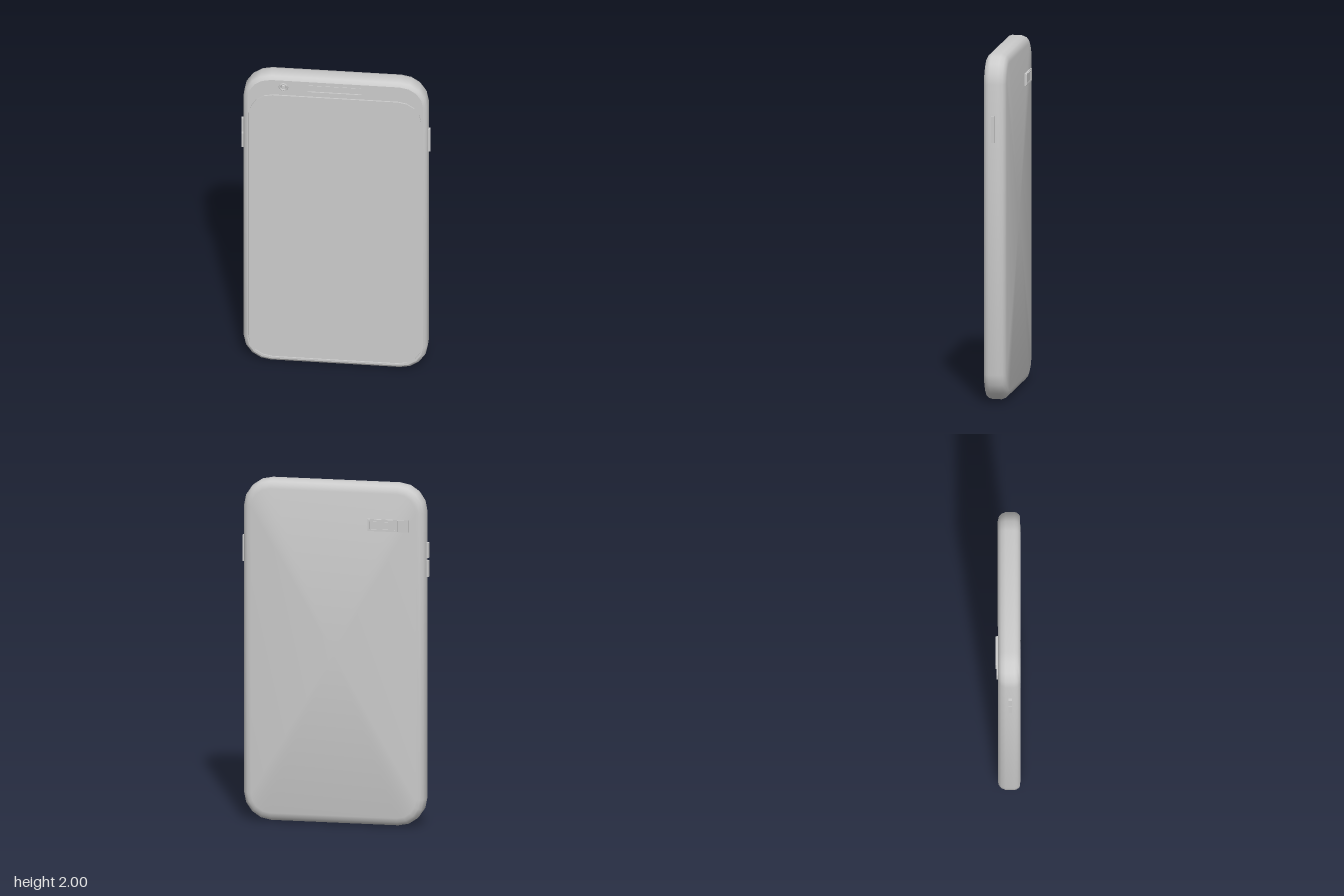
import * as THREE from 'three';
import { toCreasedNormals } from 'three/addons/utils/BufferGeometryUtils.js';

const HALF_W = 0.53, FRONT = 0.066;

// Counter-clockwise rounded rectangle as a list of points
function outline(cx, cy, hw, hh, r, seg = 4) {
  const pts = [];
  [[1, 1], [-1, 1], [-1, -1], [1, -1]].forEach(([sx, sy], q) => {
    for (let i = 0; i <= seg; i++) {
      const a = (q + i / seg) * Math.PI / 2;
      pts.push(new THREE.Vector2(
        cx + sx * (hw - r) + r * Math.cos(a),
        cy + sy * (hh - r) + r * Math.sin(a)));
    }
  });
  return pts;
}
const bodyOutline = inset => outline(0, 1, HALF_W - inset, 1 - inset, 0.16 - inset);

// Rounded shell lofted from the back face to the front rim
function shellGeometry() {
  const rings = [[-0.062, 0.05], [-0.056, 0.027], [-0.042, 0.01], [-0.018, 0],
    [0.035, 0], [0.05, 0.005], [0.06, 0.014], [FRONT, 0.025]];
  const pos = [], idx = [];
  const n = bodyOutline(0).length;
  rings.forEach(([z, inset]) => bodyOutline(inset).forEach(p => pos.push(p.x, p.y, z)));
  for (let k = 0; k < rings.length - 1; k++) {
    for (let i = 0; i < n; i++) {
      const j = (i + 1) % n, a = k * n + i, b = k * n + j;
      idx.push(a, b, b + n, a, b + n, a + n);
    }
  }
  // back cap
  const c = pos.length / 3;
  pos.push(0, 1, rings[0][0]);
  for (let i = 0; i < n; i++) idx.push(c, (i + 1) % n, i);
  const g = new THREE.BufferGeometry();
  g.setAttribute('position', new THREE.Float32BufferAttribute(pos, 3));
  g.setIndex(idx);
  return toCreasedNormals(g, 0.6);
}

export function createModel() {
  const group = new THREE.Group();
  const mat = new THREE.MeshStandardMaterial({ color: 0xcccccc });

  const add = (name, geo, x = 0, y = 0, z = 0) => {
    const m = new THREE.Mesh(geo, mat);
    m.name = name;
    m.position.set(x, y, z);
    group.add(m);
    return m;
  };
  const box = (name, x0, x1, y0, y1, z0, z1) => add(name,
    new THREE.BoxGeometry(x1 - x0, y1 - y0, z1 - z0),
    (x0 + x1) / 2, (y0 + y1) / 2, (z0 + z1) / 2);
  const plate = (points, depth, holes = []) => {
    const s = new THREE.Shape(points);
    holes.forEach(h => s.holes.push(new THREE.Path(h)));
    return new THREE.ExtrudeGeometry(s, { depth, bevelEnabled: false });
  };

  add('bodyShell', shellGeometry());

  // Front bezel with openings for screen, earpiece and front camera
  const screen = inset => outline(0, 0.957, 0.5 - inset, 0.92 - inset, 0.14 - inset);
  const earpiece = inset => outline(-0.004, 1.929, 0.156 - inset, 0.023 - inset, 0.002, 1);
  const camera = outline(-0.298, 1.93, 0.029, 0.029, 0.029, 3);
  add('frontBezel', plate(bodyOutline(0.025), 0.008, [screen(0), earpiece(0), camera]),
    0, 0, FRONT - 0.008);
  add('frontBacking', new THREE.ShapeGeometry(new THREE.Shape(bodyOutline(0.025))),
    0, 0, FRONT - 0.007);
  add('screen', plate(screen(0.007), 0.008), 0, 0, FRONT - 0.007);
  add('earpieceGrille', plate(earpiece(0.004), 0.004), 0, 0, FRONT - 0.007);

  // Front camera ring and lens
  const ring = add('frontCameraRing', new THREE.TorusGeometry(0.021, 0.006, 6, 12), -0.298, 1.93, FRONT - 0.002);
  ring.scale.z = 0.9;
  const lens = add('frontCameraLens', new THREE.CylinderGeometry(0.01, 0.014, 0.008, 12), -0.298, 1.93, FRONT - 0.003);
  lens.rotation.x = Math.PI / 2;

  // Side buttons
  box('powerButton', 0.52, 0.542, 1.505, 1.66, 0, 0.02);
  [[1.57, 1.66], [1.46, 1.555]].forEach(([y0, y1], i) =>
    box(i ? 'volumeDownButton' : 'volumeUpButton', -0.544, -0.52, y0, y1, 0, 0.02));

  // Rear camera: low base with a raised framed window and a flash beside it
  box('rearCameraBase', -0.44, -0.2, 1.73, 1.8, -0.07, -0.06);
  add('rearCameraFrame', plate(outline(-0.288, 1.765, 0.087, 0.034, 0.002, 1), 0.007,
    [outline(-0.288, 1.765, 0.076, 0.023, 0.002, 1)]), 0, 0, -0.076);
  box('rearCameraWindow', -0.362, -0.214, 1.744, 1.786, -0.074, -0.069);

  // Bottom openings, as thin rims set on the lower edge
  const rim = (name, x, hw, hh) => {
    const m = add(name, plate(outline(0, 0, hw, hh, hh, 3), 0.004,
      [outline(0, 0, hw - 0.004, hh - 0.004, hh - 0.004, 3)]), x, 0.002, 0.008);
    m.rotation.x = Math.PI / 2;
  };
  rim('chargingPort', 0, 0.038, 0.012);
  rim('audioJack', 0.29, 0.015, 0.015);

  return group;
}
